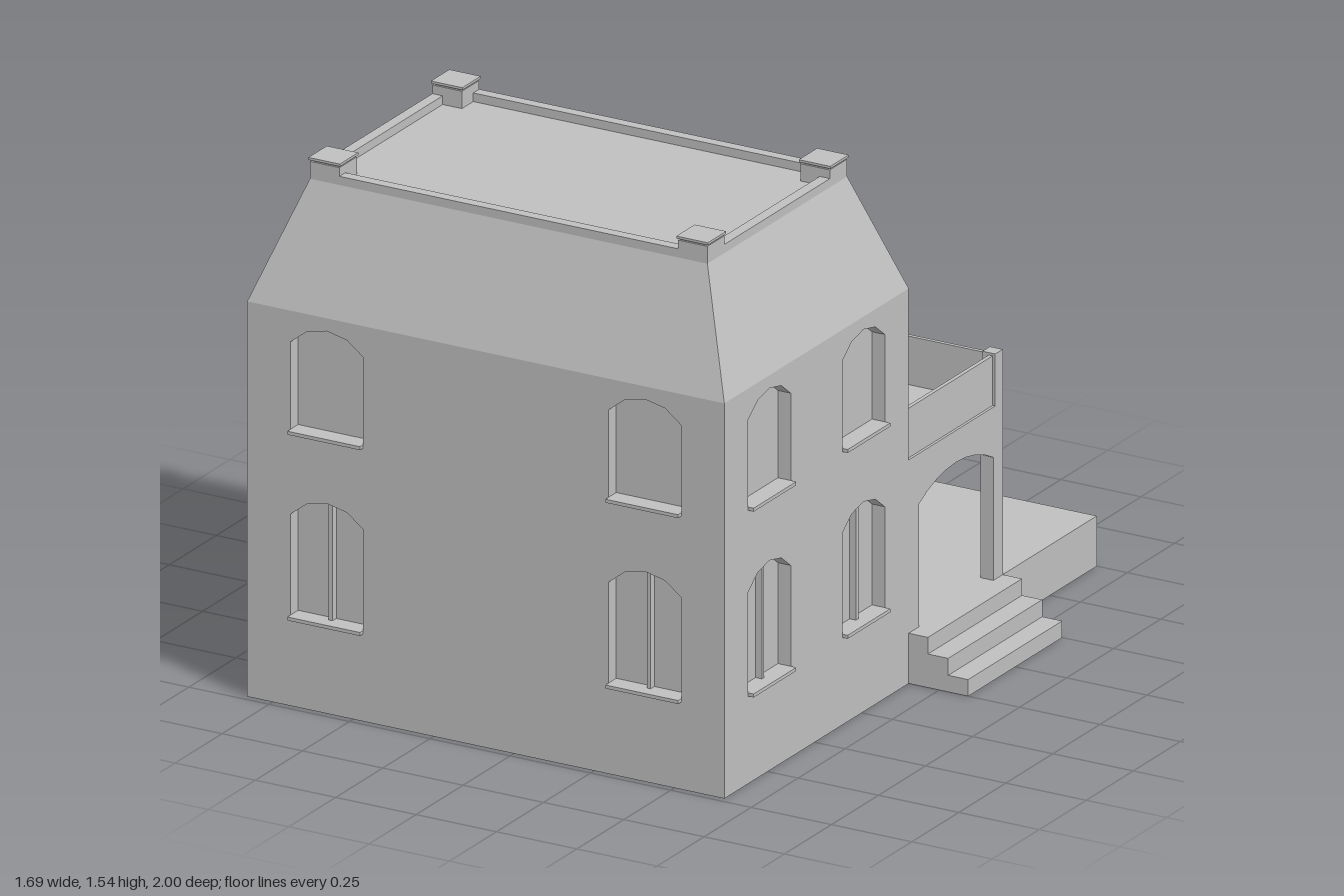
import * as THREE from 'three';

const stone = new THREE.MeshStandardMaterial({ color: 0xc0c0c0 });
stone.name = 'stone grey';

const T = 0.04; // wall thickness
const X0 = -0.83, X1 = 0.655, Z1 = 0.98, EAVE = 1.14, BACK = -0.5;

function mesh(parent, name, geometry) {
  const m = new THREE.Mesh(geometry, stone);
  m.name = name;
  parent.add(m);
  return m;
}

// Box given by its two extreme corners
function box(parent, name, x0, x1, y0, y1, z0, z1) {
  const m = mesh(parent, name, new THREE.BoxGeometry(x1 - x0, y1 - y0, z1 - z0));
  m.position.set((x0 + x1) / 2, (y0 + y1) / 2, (z0 + z1) / 2);
  return m;
}

// Segmental arch outline
function archPath({ u0, u1, y0, spring, apex, segments = 4 }) {
  const half = (u1 - u0) / 2, rise = apex - spring;
  const r = (half * half + rise * rise) / (2 * rise);
  const sweep = Math.asin(half / r);
  const points = [new THREE.Vector2(u0, y0), new THREE.Vector2(u1, y0)];
  for (let i = 0; i <= segments; i++) {
    const a = sweep * (1 - (2 * i) / segments);
    points.push(new THREE.Vector2((u0 + u1) / 2 + r * Math.sin(a), apex - r + r * Math.cos(a)));
  }
  return new THREE.Path(points);
}

// Wall with arched openings, drawn in (u, y) and thickened along local z;
// out is +1 when the outer face is at local z = T, -1 when it is at z = 0
function wall(parent, name, u0, u1, y0, y1, out, openings) {
  const group = new THREE.Group();
  group.name = name;
  parent.add(group);
  const shape = new THREE.Shape([
    new THREE.Vector2(u0, y0), new THREE.Vector2(u1, y0),
    new THREE.Vector2(u1, y1), new THREE.Vector2(u0, y1),
  ]);
  shape.holes = openings.map(archPath);
  mesh(group, 'wallPanel', new THREE.ExtrudeGeometry(shape, { depth: T, bevelEnabled: false }));
  for (const o of openings) {
    const mid = (o.u0 + o.u1) / 2;
    if (o.sill) {
      const z = out > 0 ? [0, T + 0.017] : [-(o.reach ?? 0.017), T];
      box(group, 'windowSill', o.u0, o.u1, o.y0 - 0.005, o.y0 + 0.005, ...z);
    }
    if (o.mullion) {
      const z = out > 0 ? [0, 0.02] : [T - 0.02, T];
      box(group, 'windowMullion', mid - 0.006, mid + 0.006, o.y0, o.apex - 0.001, ...z);
    }
  }
  return group;
}

const upper = (mid) => ({ u0: mid - 0.113, u1: mid + 0.113, y0: 0.793, spring: 1.05, apex: 1.103, sill: true });
const lower = (mid, mullion = true) =>
  ({ u0: mid - 0.113, u1: mid + 0.113, y0: 0.257, spring: 0.553, apex: 0.606, sill: true, mullion });

function sideWall(parent, name, x, ...args) {
  const w = wall(parent, name, ...args);
  w.rotation.y = -Math.PI / 2; // u becomes z, depth becomes -x
  w.position.x = x;
}

function buildHouse(root) {
  const house = new THREE.Group();
  house.name = 'mainHouse';
  root.add(house);
  // The core closes the window recesses
  box(house, 'houseCore', X0 + T, X1 - T, 0, EAVE, T, Z1 - T);
  const xs = [-0.582, 0.408], zs = [0.24, 0.74];
  wall(house, 'frontWall', X0, X1, 0, EAVE, 1, [...xs.map(upper), ...xs.map((x) => lower(x))])
    .position.z = Z1 - T;
  wall(house, 'backWall', X0, X1, 0, EAVE, -1, [
    ...xs.map(upper), lower(xs[1]),
    { u0: -0.2, u1: 0.015, y0: 0.645, spring: 1.05, apex: 1.103 },
  ]);
  const sideOpenings = [...zs.map(upper), ...zs.map((z) => lower(z))];
  sideWall(house, 'leftWall', X1, T, Z1 - T, 0, EAVE, -1, sideOpenings);
  sideWall(house, 'rightWall', X0 + T, T, Z1 - T, 0, EAVE, 1, sideOpenings);
}

function buildRoof(root) {
  const roof = new THREE.Group();
  roof.name = 'roof';
  root.add(roof);
  const x0 = -0.705, x1 = 0.532, z0 = 0.117, z1 = 0.86, top = 1.478;

  // Mansard: a box whose top corners are drawn inward
  const g = new THREE.BoxGeometry(2, 2, 2);
  const p = g.attributes.position;
  for (let i = 0; i < p.count; i++) {
    const up = p.getY(i) > 0, right = p.getX(i) > 0, front = p.getZ(i) > 0;
    p.setXYZ(i,
      right ? (up ? x1 : X1) : (up ? x0 : X0),
      up ? top : EAVE,
      front ? (up ? z1 : Z1) : (up ? z0 : 0));
  }
  g.computeVertexNormals();
  mesh(roof, 'mansard', g);

  // Parapet with a capped post at each corner
  const rim = 0.032, h = 1.503, post = 0.092;
  for (const z of [z0, z1 - rim]) box(roof, 'parapet', x0 + post, x1 - post, top, h, z, z + rim);
  for (const x of [x0, x1 - rim]) box(roof, 'parapet', x, x + rim, top, h, z0 + post, z1 - post);
  for (const x of [x0, x1 - post]) {
    for (const z of [z0, z1 - post]) {
      box(roof, 'roofPost', x, x + post, top, 1.528, z, z + post);
      box(roof, 'roofPostCap', x - 0.003, x + post + 0.003, 1.533, 1.54, z - 0.003, z + post + 0.003);
      box(roof, 'roofPostNeck', x + 0.006, x + post - 0.006, 1.528, 1.533, z + 0.006, z + post - 0.006);
    }
  }
}

function buildExtension(root) {
  const ext = new THREE.Group();
  ext.name = 'backExtension';
  root.add(ext);
  const roomX = -0.08, top = 0.62, deck = 0.645, floor = 0.145;

  // Enclosed room, and the arched porch beside it
  box(ext, 'roomCore', X0 + T, roomX - T, 0, top, BACK + T, 0);
  wall(ext, 'extensionBackWall', X0, X1, 0, top, -1, [
    { u0: -0.77, u1: -0.143, y0: 0.237, spring: 0.49, apex: 0.565, segments: 8, sill: true, reach: 0.025 },
    { u0: roomX, u1: 0.61, y0: floor, spring: 0.5, apex: 0.57, segments: 8 },
  ]).position.z = BACK;
  sideWall(ext, 'extensionRightWall', X0 + T, BACK + T, 0, 0, top, 1, [lower(-0.26, false)]);
  sideWall(ext, 'porchArchWall', X1, BACK + T, 0, 0, top, -1,
    [{ u0: -0.45, u1: -0.055, y0: floor, spring: 0.5, apex: 0.553, segments: 8 }]);
  sideWall(ext, 'porchDoorWall', roomX, BACK + T, 0, 0, top, -1,
    [{ u0: -0.378, u1: -0.127, y0: floor, spring: 0.54, apex: 0.59 }]);
  const knob = mesh(ext, 'doorKnob', new THREE.SphereGeometry(0.006, 12, 8));
  knob.position.set(roomX - T + 0.006, 0.345, -0.34);

  // Balcony deck, posts and panels
  box(ext, 'balconyDeck', X0, X1, top, deck, BACK, 0);
  const w = 0.04, posts = [X0, -0.375, 0.163, X1 - w];
  posts.forEach((x, i) => {
    box(ext, 'balconyPost', x, x + w, deck, 0.795, BACK, BACK + w);
    if (i < 3) box(ext, 'balconyPanel', x + w, posts[i + 1], deck, 0.785, BACK + 0.01, BACK + 0.022);
  });
  for (const x of [X0 + 0.008, X1 - 0.02]) {
    box(ext, 'balconySidePanel', x, x + 0.012, deck, 0.788, BACK + w, 0);
  }

  // Porch floor, terrace and steps
  box(ext, 'porchFloor', roomX, X1 - T, 0, floor, BACK + T, 0);
  box(ext, 'terrace', roomX, X1, 0, floor, -1, BACK);
  [[X1, 0.715, floor], [0.715, 0.778, 0.097], [0.778, 0.84, 0.048]].forEach(([a, b, h]) =>
    box(ext, 'step', a, b, 0, h, BACK, 0));
}

export function createModel() {
  const root = new THREE.Group();
  root.name = 'house';
  buildHouse(root);
  buildRoof(root);
  buildExtension(root);
  return root;
}
